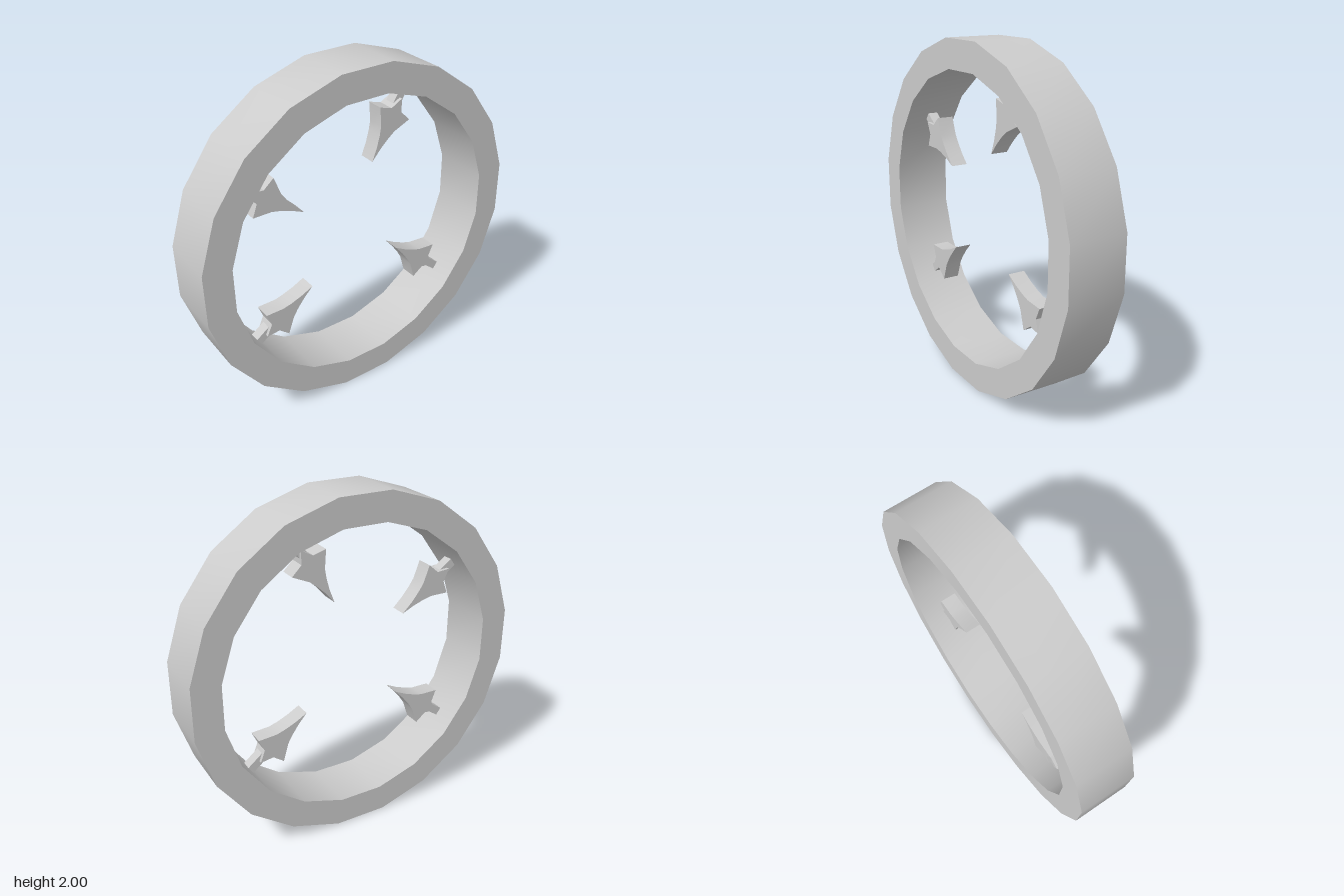
import * as THREE from 'three';
import { toCreasedNormals } from 'three/addons/utils/BufferGeometryUtils.js';

const material = new THREE.MeshStandardMaterial({ color: 0xcccccc });

function makeMesh(name, geometry) {
  const mesh = new THREE.Mesh(geometry, material);
  mesh.name = name;
  return mesh;
}

// Twenty-sided hoop with a rectangular section, axis along z
function makeHoop() {
  const outer = 1.011, inner = 0.843, half = 0.168;
  const section = [[outer, -half], [outer, half], [inner, half], [inner, -half], [outer, -half]]
    .map(([r, h]) => new THREE.Vector2(r, h));
  const lathe = new THREE.LatheGeometry(section, 20, THREE.MathUtils.degToRad(9.5));
  lathe.rotateX(Math.PI / 2);
  const hoop = makeMesh('hoop', toCreasedNormals(lathe, Math.PI / 6));
  hoop.position.y = 1;
  return hoop;
}

// Four-pointed star head, its long tip at the origin and its back along +y
function makeBarb() {
  const depth = 0.1;
  const side = [[0.08, 0.014], [0.15, 0.034], [0.2, 0.054], [0.29, 0.117], [0.31, 0.04]];
  const outline = [
    [0, 0],
    ...side.map(([s, w]) => [w, s]),
    [0, 0.378],
    ...side.map(([s, w]) => [-w, s]).reverse(),
  ].map(([x, y]) => new THREE.Vector2(x, y));
  const head = new THREE.ExtrudeGeometry(new THREE.Shape(outline), { depth, bevelEnabled: false });
  head.translate(0, 0, -depth / 2);

  // Stem that fixes the head to the hoop
  const stem = new THREE.BoxGeometry(0.05, 0.16, 0.06);
  stem.translate(0, 0.38, 0);

  const barb = new THREE.Group();
  barb.name = 'barb';
  barb.add(makeMesh('barbHead', toCreasedNormals(head, Math.PI / 6)), makeMesh('barbStem', stem));
  return barb;
}

export function createModel() {
  const model = new THREE.Group();
  model.name = 'barbedHoop';
  model.add(makeHoop());

  // Tip position and outward direction of each barb
  const barbs = [
    [0.115, 1.395, 0.51, 0.86],
    [-0.334, 1.23, -0.825, 0.565],
    [-0.297, 0.727, -0.81, -0.586],
    [0.302, 0.759, 0.78, -0.625],
  ];
  for (const [x, y, dx, dy] of barbs) {
    const barb = makeBarb();
    barb.position.set(x, y, 0);
    barb.rotation.z = Math.atan2(-dx, dy);
    model.add(barb);
  }
  return model;
}
